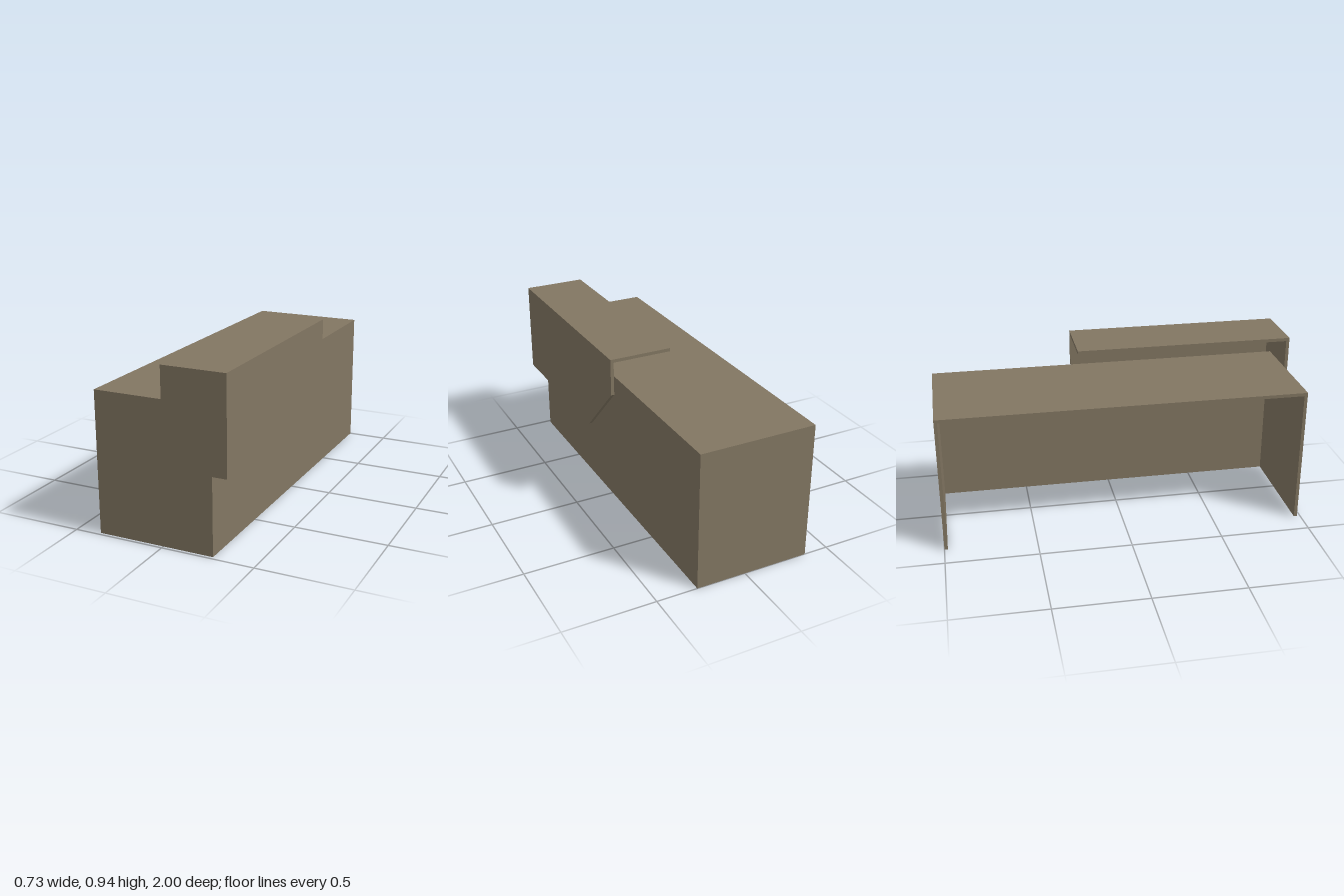
import * as THREE from 'three';

export function createModel() {
  const group = new THREE.Group();
  const taupe = new THREE.MeshStandardMaterial({ color: 0x827662 });
  taupe.name = 'taupe board';
  const T = 0.018; // board thickness

  // A board given by its lower and upper limits on each axis
  function board(name, x0, x1, y0, y1, z0, z1) {
    const mesh = new THREE.Mesh(new THREE.BoxGeometry(x1 - x0, y1 - y0, z1 - z0), taupe);
    mesh.position.set((x0 + x1) / 2, (y0 + y1) / 2, (z0 + z1) / 2);
    mesh.name = name;
    group.add(mesh);
  }

  // Counter: top, two ends and one long panel, open towards -x and below
  const cx0 = -0.365, cx1 = 0.275, cy = 0.762, cz0 = -1, cz1 = 1 - T;
  board('counterTop', cx0, cx1, cy - T, cy, cz0, cz1);
  board('counterBackEnd', cx0, cx1, 0, cy - T, cz0, cz0 + T);
  board('counterFrontEnd', cx0, cx1, 0, cy - T, cz1 - T, cz1);
  board('counterLongPanel', cx1 - T, cx1, 0, cy - T, cz0 + T, cz1 - T);

  // Raised shelf: top and front end, open towards -x, the back and below
  const sx0 = 0.019, sx1 = 0.363, sy0 = 0.423, sy1 = 0.936, sz0 = -0.206;
  board('shelfTop', sx0, sx1 - T, sy1 - T, sy1, sz0, 1);
  board('shelfFrontEnd', sx0, sx1 - T, sy0, sy1 - T, 1 - T, 1);

  // Shelf side panel with a slanted lower corner, drawn in (-z, y)
  const outline = new THREE.Shape([
    [-1, sy0], [-0.105, sy0], [-sz0, 0.735], [-sz0, sy1], [-1, sy1],
  ].map(([u, v]) => new THREE.Vector2(u, v)));
  const side = new THREE.Mesh(
    new THREE.ExtrudeGeometry(outline, { depth: T, bevelEnabled: false }), taupe);
  side.rotation.y = Math.PI / 2;
  side.position.x = sx1 - T;
  side.name = 'shelfSidePanel';
  group.add(side);

  return group;
}
